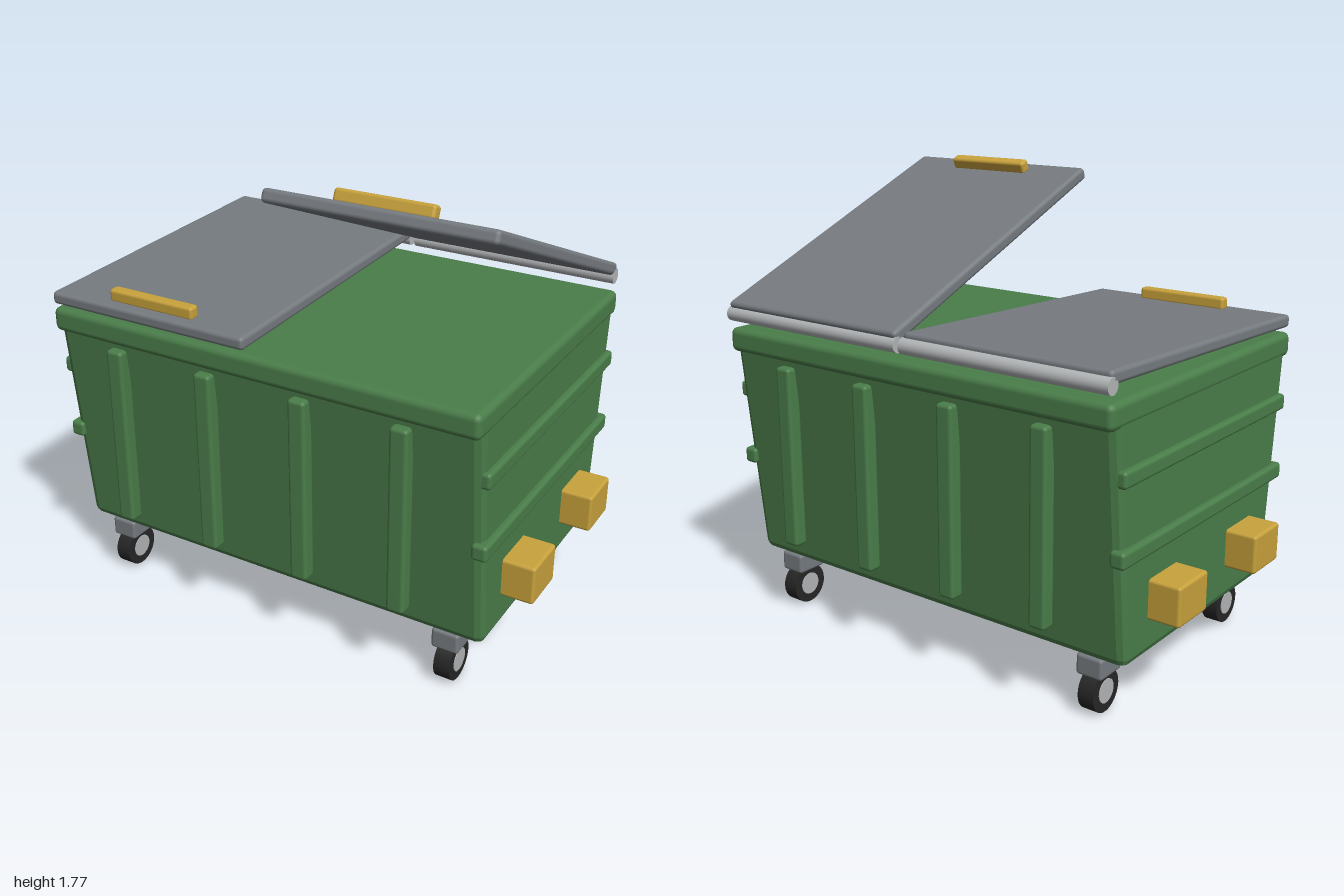
import * as THREE from 'three';
import { RoundedBoxGeometry } from 'three/addons/geometries/RoundedBoxGeometry.js';

const material = (name, color) => {
  const m = new THREE.MeshStandardMaterial({ color });
  m.name = name;
  return m;
};

export function createModel() {
  const green = material('green paint', 0x4a7d4a);
  const yellow = material('yellow paint', 0xc8a23c);
  const grey = material('grey lid', 0x767b80);
  const steel = material('light steel', 0xb2b5b7);
  const rubber = material('black rubber', 0x262626);

  const model = new THREE.Group();
  model.name = 'wheeledContainer';
  const ZC = 0.005; // middle of the body in z

  const add = (parent, name, geometry, mat, x, y, z) => {
    const mesh = new THREE.Mesh(geometry, mat);
    mesh.name = name;
    mesh.position.set(x, y, z);
    parent.add(mesh);
    return mesh;
  };
  const box = (w, h, d, r = 0.012) => new RoundedBoxGeometry(w, h, d, 2, r);
  const rod = (radius, length) =>
    new THREE.CylinderGeometry(radius, radius, length, 28).rotateZ(Math.PI / 2);

  // Body: chamfered box whose front and back lean outwards towards the top
  const y0 = 0.225, y1 = 1.13;
  const shell = new RoundedBoxGeometry(1.755, y1 - y0, 1, 1, 0.03);
  const p = shell.attributes.position;
  for (let i = 0; i < p.count; i++) {
    const t = p.getY(i) / (y1 - y0) + 0.5;
    p.setZ(i, p.getZ(i) * THREE.MathUtils.lerp(1.02, 1.208, t));
  }
  shell.computeVertexNormals();
  add(model, 'body', shell, green, 0, (y0 + y1) / 2, ZC);
  add(model, 'rim', box(1.76, 0.095, 1.255, 0.025), green, 0, 1.13, ZC);

  // Upright ribs on front and back
  for (const side of [1, -1]) {
    for (const x of [-0.597, -0.2, 0.197, 0.592]) {
      add(model, 'uprightRib', box(0.07, 0.72, 0.06, 0.014), green, x, 0.7, ZC + side * 0.602);
    }
  }

  for (const side of [1, -1]) {
    // Horizontal ribs and lifting pockets on the ends
    for (const y of [0.64, 0.917]) {
      add(model, 'endRib', box(0.06, 0.062, 1.14, 0.014), green, side * 0.87, y, ZC);
    }
    for (const z of [-0.275, 0.275]) {
      add(model, 'liftingPocket', box(0.14, 0.15, 0.192), yellow, side * 0.93, 0.433, z + ZC);
    }

    // Casters
    for (const z of [-0.44, 0.44]) {
      const caster = new THREE.Group();
      caster.name = 'caster';
      caster.position.set(side * 0.73, 0, z + ZC);
      model.add(caster);
      add(caster, 'bracket', box(0.107, 0.08, 0.13), grey, 0, 0.188, 0);
      add(caster, 'tyre', rod(0.08, 0.064), rubber, 0, 0.082, 0);
      add(caster, 'hub', rod(0.045, 0.07), steel, 0, 0.082, 0);
    }
  }

  // Two lids turning on the back hinge: one shut, one propped open
  const addLid = (name, x, angle) => {
    const lid = new THREE.Group();
    lid.name = name;
    lid.position.set(x, 1.235, -0.61);
    lid.rotation.x = angle;
    model.add(lid);
    add(lid, 'hingeBar', rod(0.03, 0.858), steel, 0, 0, 0);
    add(lid, 'panel', box(0.858, 0.05, 1.25, 0.016), grey, 0, 0.025, 0.62);
    add(lid, 'handle', box(0.37, 0.05, 0.046), yellow, 0, 0.068, 1.178);
  };
  addLid('closedLid', -0.443, 0.034);
  addLid('openLid', 0.437, -0.388);

  return model;
}
